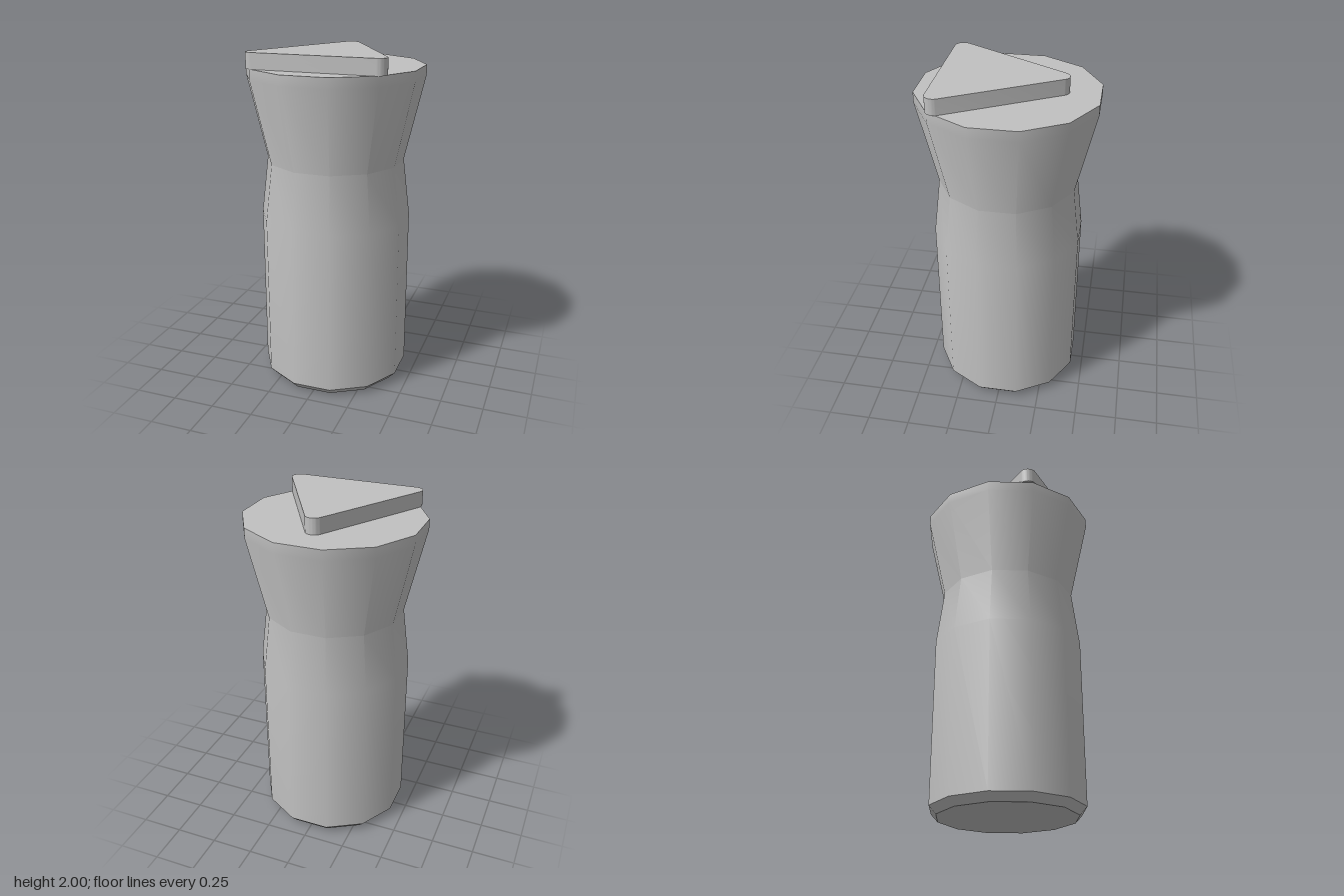
import * as THREE from 'three';
import { toCreasedNormals } from 'three/addons/utils/BufferGeometryUtils.js';

export function createModel() {
  const group = new THREE.Group();
  const grey = new THREE.MeshStandardMaterial({ color: 0xc0c0c0 });

  const add = (name, geometry, crease) => {
    const mesh = new THREE.Mesh(toCreasedNormals(geometry, crease), grey);
    mesh.name = name;
    group.add(mesh);
  };

  // Twelve-sided handle with a waist and flared rim: [half width across flats, height]
  const profile = [
    [0, 0], [0.39, 0], [0.43, 0.045], [0.43, 1.02],
    [0.39, 1.36], [0.5, 1.85], [0.5, 1.91], [0, 1.91],
  ];
  const toCorner = 1 / Math.cos(Math.PI / 12);
  const points = profile.map(([w, y]) => new THREE.Vector2(w * toCorner, y));
  add('handle', new THREE.LatheGeometry(points, 12, Math.PI / 12), 0.6);

  // Triangular plate with rounded corners, pointing to the back
  const r = 0.05;
  const shape = new THREE.Shape();
  const corners = [[0.35, -0.325, -90], [0, 0.28, 30], [-0.35, -0.325, 150]];
  for (const [x, y, start] of corners) {
    const a = THREE.MathUtils.degToRad(start);
    shape.absarc(x, y, r, a, a + Math.PI * 2 / 3, false);
  }
  shape.closePath();
  const plate = new THREE.ExtrudeGeometry(shape, { depth: 0.09, bevelEnabled: false, curveSegments: 8 });
  plate.rotateX(-Math.PI / 2).translate(0, 1.91, 0);
  add('trianglePlate', plate, 0.6);

  return group;
}
